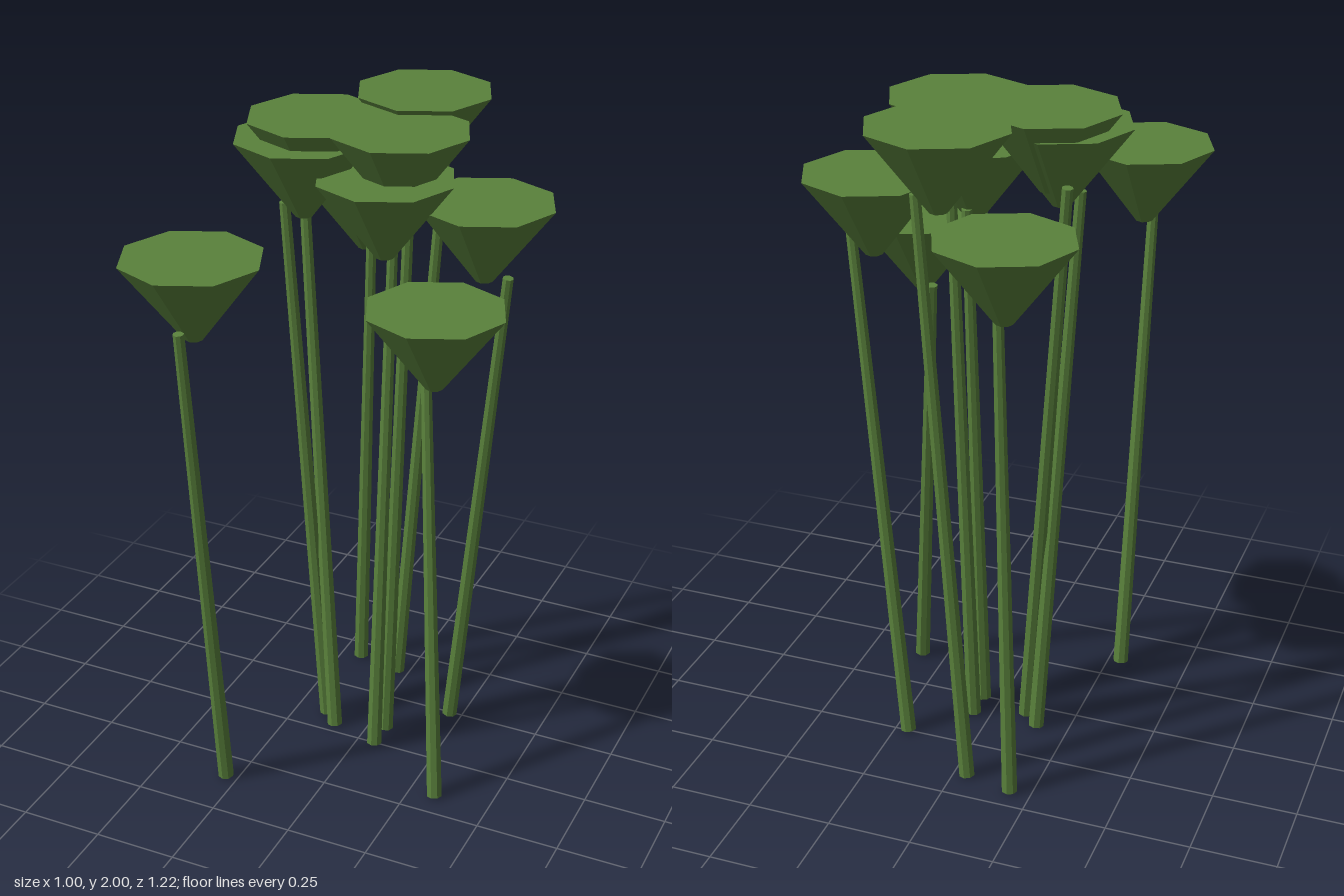
import * as THREE from 'three';

const CAP_RADIUS = 0.202, TIP_RADIUS = 0.025, CAP_HEIGHT = 0.235;
const STEM_BELOW_RIM = 0.195;

// Each plant: cap centre x, z, rim height, then stem foot x, z
const plants = [
  [-0.30, 0.406, 1.735, -0.29, 0.34],
  [-0.16, -0.41, 1.72, -0.185, -0.43],
  [0.027, -0.395, 2.0, -0.04, -0.40],
  [0.298, -0.20, 1.775, 0.21, -0.245],
  [0.273, 0.095, 1.565, 0.33, 0.17],
  [-0.20, -0.07, 1.935, -0.15, -0.09],
  [-0.176, -0.107, 1.985, -0.10, -0.04],
  [0.083, -0.093, 1.985, 0.055, -0.09],
  [0.058, -0.05, 1.86, 0.055, 0.0],
];

// Tapered stem running between two points
function makeStem(foot, top, material) {
  const dir = top.clone().sub(foot);
  const stem = new THREE.Mesh(new THREE.CylinderGeometry(0.016, 0.024, dir.length(), 8), material);
  stem.position.copy(foot).add(top).multiplyScalar(0.5);
  stem.quaternion.setFromUnitVectors(new THREE.Vector3(0, 1, 0), dir.normalize());
  stem.name = 'stem';
  return stem;
}

export function createModel() {
  const model = new THREE.Group();
  model.name = 'plantCluster';
  const green = new THREE.MeshStandardMaterial({ color: 0x5a823c, flatShading: true });
  green.name = 'leafGreen';

  // Eight-sided funnel with a blunt tip and flat top
  const capGeometry = new THREE.CylinderGeometry(CAP_RADIUS, TIP_RADIUS, CAP_HEIGHT, 8);

  plants.forEach(([x, z, rim, footX, footZ], i) => {
    const plant = new THREE.Group();
    plant.name = `plant${i + 1}`;

    const cap = new THREE.Mesh(capGeometry, green);
    cap.position.set(x, rim - CAP_HEIGHT / 2, z);
    cap.name = 'cap';

    // The stem leans about its middle, which lies under the cap centre
    const foot = new THREE.Vector3(footX, 0.005, footZ);
    const top = new THREE.Vector3(2 * x - footX, rim - STEM_BELOW_RIM, 2 * z - footZ);
    plant.add(cap, makeStem(foot, top, green));
    model.add(plant);
  });
  return model;
}
